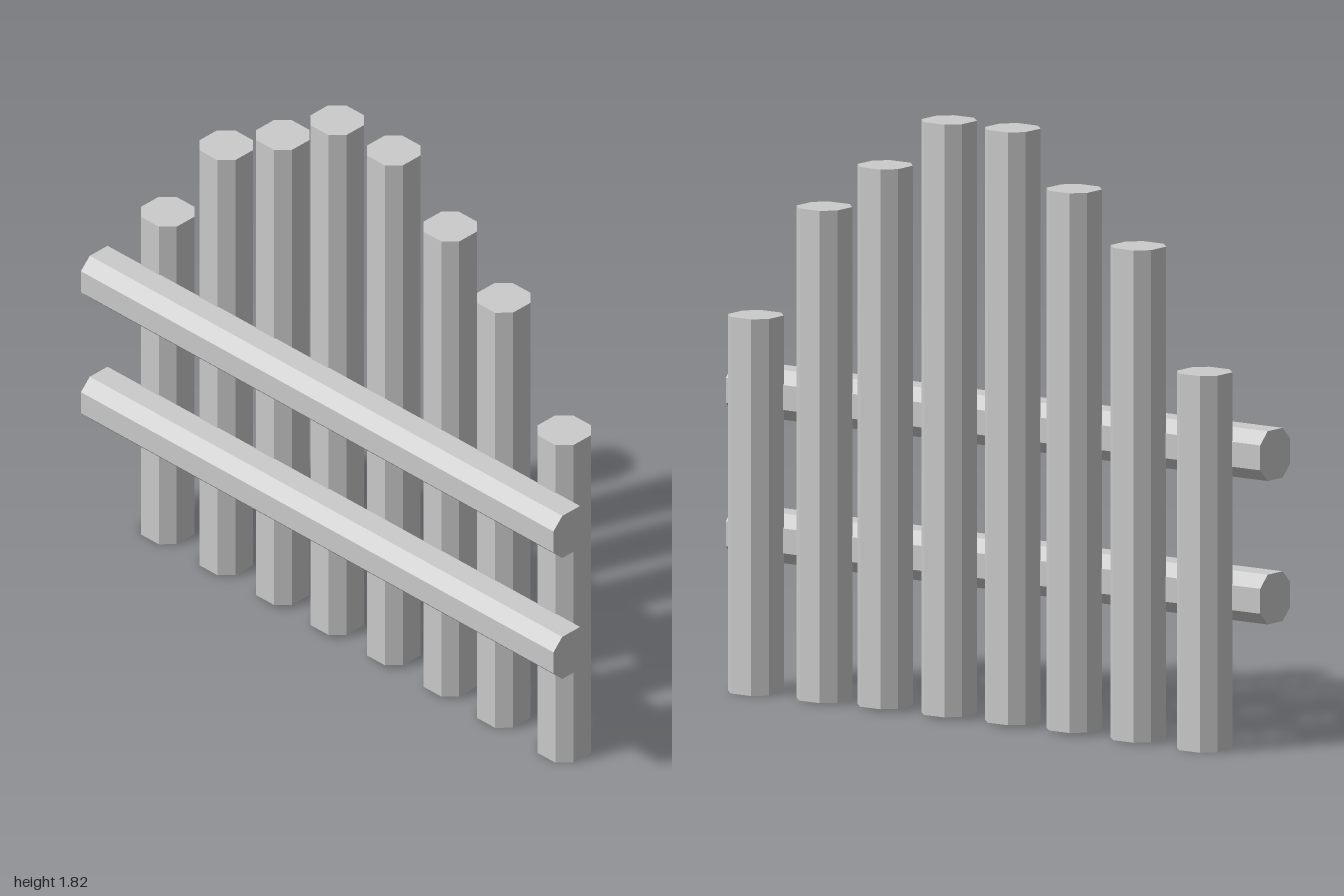
import * as THREE from 'three';

const HALF = 0.076;  // half the width of a log
const FLAT = 0.038;  // half the width of its wide faces

// Eight-sided log with chamfered-square section, standing along y
function logGeometry(length, openBottom) {
  const geo = new THREE.CylinderGeometry(1, 1, length, 8, 1, false, Math.PI / 8);
  const pos = geo.attributes.position;
  const snap = (v) => Math.abs(v) < 0.01 ? 0 : Math.sign(v) * (Math.abs(v) > 0.6 ? HALF : FLAT);
  for (let i = 0; i < pos.count; i++) {
    pos.setX(i, snap(pos.getX(i)));
    pos.setZ(i, snap(pos.getZ(i)));
  }
  // The bottom cap is the last eight triangles
  if (openBottom) geo.setIndex(Array.from(geo.index.array).slice(0, -24));
  geo.clearGroups();
  const flat = geo.toNonIndexed();
  flat.computeVertexNormals();
  return flat;
}

export function createModel() {
  const group = new THREE.Group();
  group.name = 'logFence';
  const wood = new THREE.MeshStandardMaterial({
    color: 0xcccccc, flatShading: true, side: THREE.DoubleSide,
  });

  // Upright posts, hollow underneath: x, bottom, top, z
  const posts = [
    [-0.818, 0, 1.15, -0.054],
    [-0.57, 0.005, 1.508, -0.054],
    [-0.33, 0.01, 1.658, -0.054],
    [-0.1, 0.01, 1.82, -0.054],
    [0.136, 0.01, 1.82, -0.057],
    [0.376, 0.01, 1.658, -0.056],
    [0.604, 0.005, 1.508, -0.055],
    [0.861, 0, 1.15, -0.054],
  ];
  posts.forEach(([x, bottom, top, z], i) => {
    const post = new THREE.Mesh(logGeometry(top - bottom, true), wood);
    post.position.set(x, (top + bottom) / 2, z);
    post.name = `post${i + 1}`;
    group.add(post);
  });

  // Horizontal rails across the front
  for (const [name, y] of [['lowerRail', 0.462], ['upperRail', 0.9]]) {
    const rail = new THREE.Mesh(logGeometry(2, false), wood);
    rail.rotation.z = Math.PI / 2;
    rail.position.set(0, y, 0.057);
    rail.name = name;
    group.add(rail);
  }
  return group;
}
